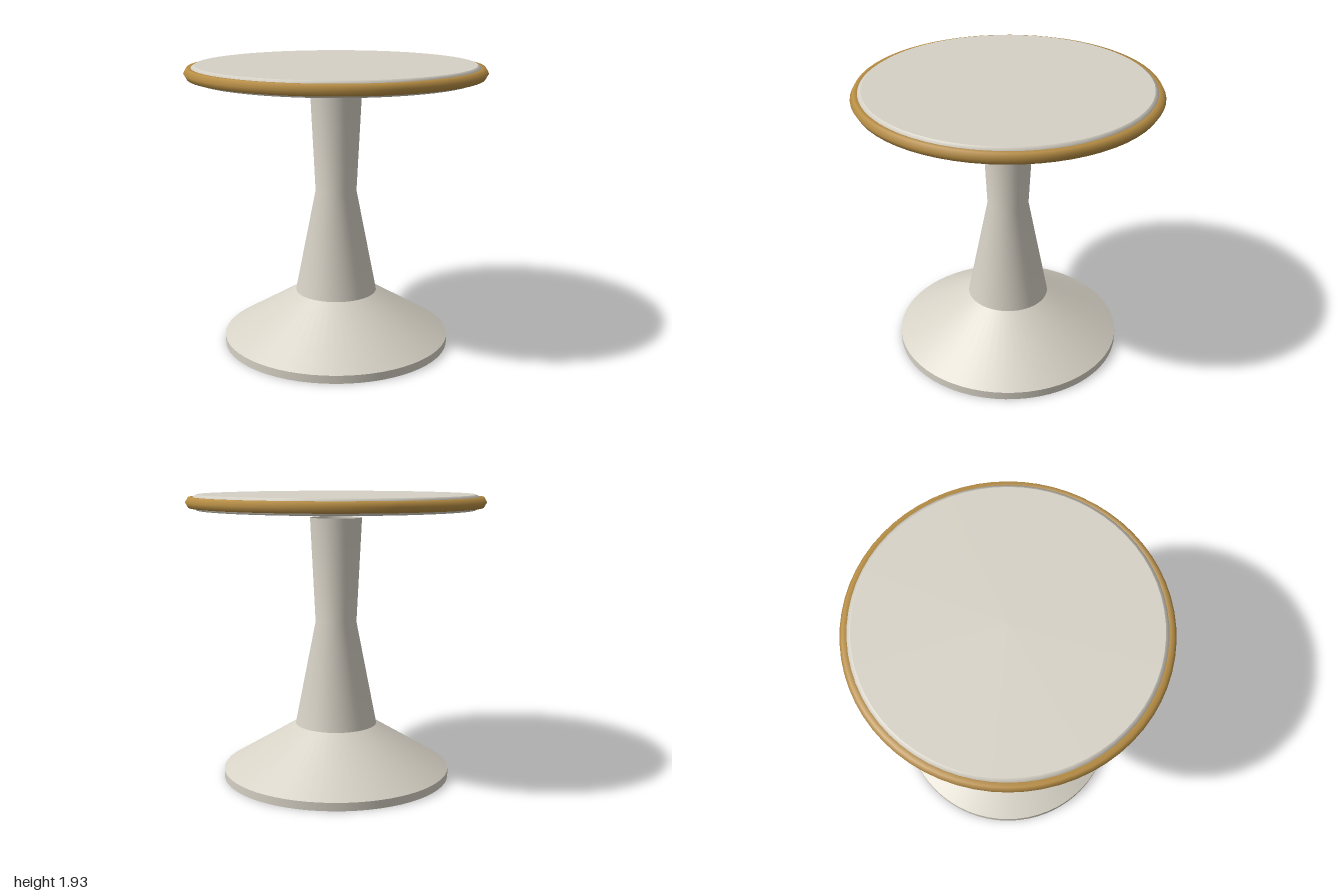
import * as THREE from 'three';

const cream = new THREE.MeshStandardMaterial({ color: 0xd6d1c5, side: THREE.DoubleSide });
cream.name = 'warm light grey';
const gold = new THREE.MeshStandardMaterial({ color: 0xb98f45 });
gold.name = 'gold trim';

const SEGMENTS = 64;

// Turned part from a bottom-to-top profile of [radius, height] pairs
function turned(name, profile) {
  const points = profile.map(([r, y]) => new THREE.Vector2(r, y));
  const mesh = new THREE.Mesh(new THREE.LatheGeometry(points, SEGMENTS), cream);
  mesh.name = name;
  return mesh;
}

export function createModel() {
  const model = new THREE.Group();
  model.name = 'pedestalStool';

  // Hollow pedestal: separate shells keep the edges between them sharp
  const pedestal = new THREE.Group();
  pedestal.name = 'pedestal';
  pedestal.add(
    turned('baseRim', [[0.78, 0], [0.78, 0.055]]),
    turned('baseSkirt', [[0.78, 0.055], [0.28, 0.36]]),
    turned('stem', [[0.28, 0.36], [0.14, 1.07], [0.175, 1.78]])
  );

  // Thin round seat with small bevels, floating just above the stem
  const seat = new THREE.Group();
  seat.name = 'seat';
  seat.add(
    turned('seatUnderside', [[0, 1.835], [0.93, 1.835]]),
    turned('seatEdge', [[0.93, 1.835], [0.955, 1.852], [0.955, 1.918], [0.93, 1.935]]),
    turned('seatTop', [[0.93, 1.935], [0, 1.935]])
  );

  // Six-sided trim ring around the seat
  const trim = new THREE.Mesh(new THREE.TorusGeometry(0.96, 0.04, 6, SEGMENTS), gold);
  trim.name = 'seatTrim';
  trim.rotation.x = Math.PI / 2;
  trim.position.y = 1.885;
  seat.add(trim);

  model.add(pedestal, seat);
  return model;
}
